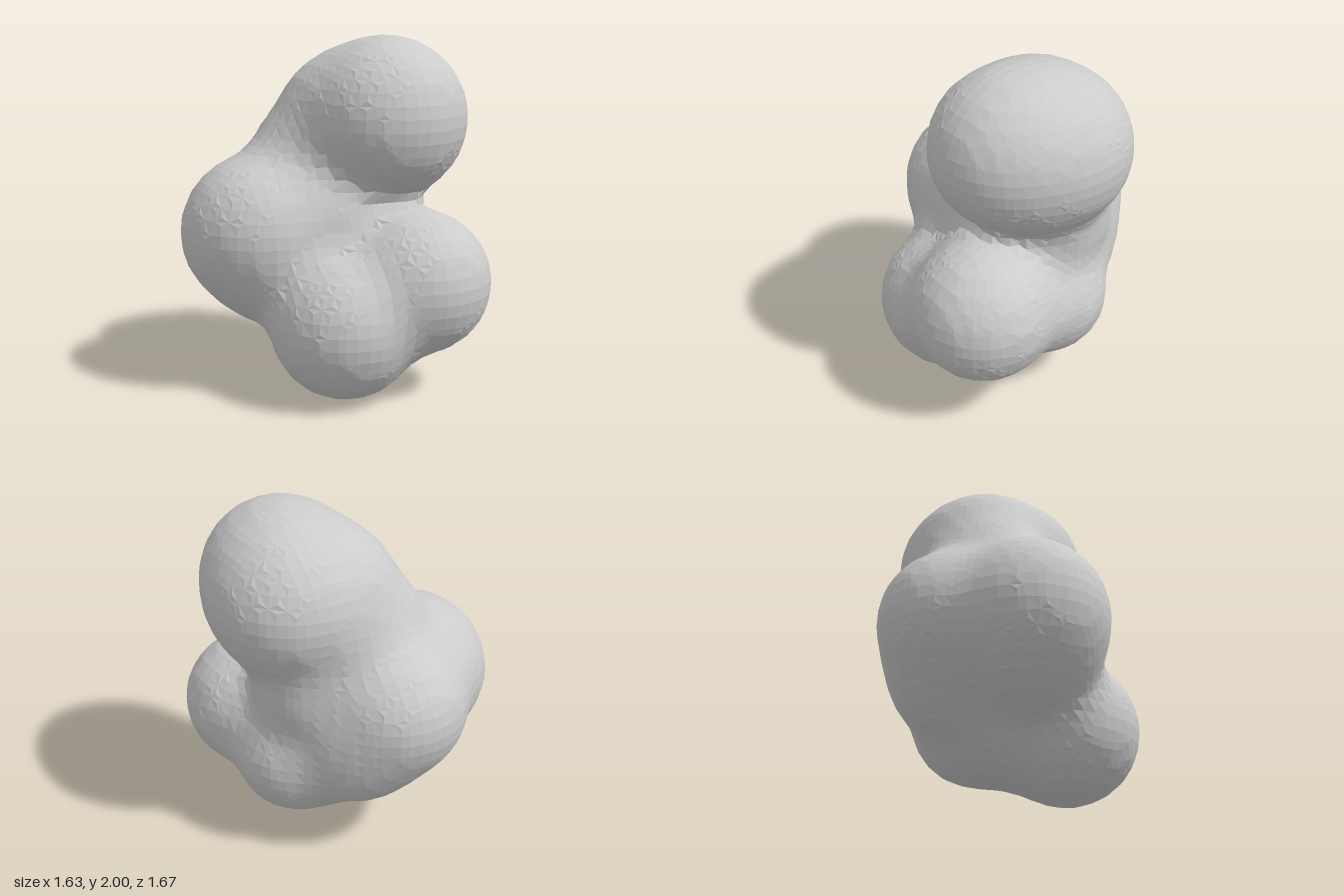
import * as THREE from 'three';

// Overlapping balls that melt together: x, y, z, radius
const BALLS = [
  [0.30, 1.545, 0.18, 0.45],   // head, front
  [0.36, 1.51, -0.03, 0.455],  // head, back
  [0.14, 1.50, -0.08, 0.38],   // shoulder
  [0.12, 1.25, -0.18, 0.35],   // neck
  [-0.06, 1.25, -0.14, 0.34],  // neck, right side
  [0.25, 1.00, -0.10, 0.375],  // core
  [0.00, 0.95, 0.00, 0.38],    // core, right side
  [-0.36, 0.89, -0.12, 0.455], // right lobe
  [-0.24, 0.72, -0.06, 0.38],  // right lobe, underside
  [-0.05, 0.90, -0.42, 0.415], // back lobe
  [0.10, 0.68, -0.30, 0.38],   // back lobe, underside
  [0.34, 0.53, -0.02, 0.37],   // left lower lobe
  [0.10, 0.49, 0.02, 0.38],    // belly
  [-0.05, 0.42, 0.34, 0.42],   // front lower lobe
  [0.37, 0.64, 0.43, 0.41],    // front left lobe
];
const BLEND = 0.13;
const STEP = 0.07;
const START = [-1.05, -0.2, -1.05];
const COUNT = [31, 35, 31];

// Smooth union of all balls: negative inside
function field(x, y, z) {
  let d = Infinity;
  for (const [bx, by, bz, r] of BALLS) {
    const e = Math.hypot(x - bx, y - by, z - bz) - r;
    if (d === Infinity) { d = e; continue; }
    const h = Math.max(BLEND - Math.abs(d - e), 0) / BLEND;
    d = Math.min(d, e) - h * h * BLEND / 4;
  }
  return d;
}

// Skin the field with one vertex per crossed cell and one quad per crossed grid edge
function skin() {
  const [nx, ny, nz] = COUNT;
  const stride = [1, nx, nx * ny];
  const id = (i, j, k) => i + j * nx + k * nx * ny;
  const values = new Float32Array(nx * ny * nz);
  const eachCell = (from, fn) => {
    for (let k = from; k < nz - 1; k++)
      for (let j = from; j < ny - 1; j++)
        for (let i = from; i < nx - 1; i++) fn([i, j, k], id(i, j, k));
  };
  for (let k = 0; k < nz; k++)
    for (let j = 0; j < ny; j++)
      for (let i = 0; i < nx; i++)
        values[id(i, j, k)] = field(START[0] + i * STEP, START[1] + j * STEP, START[2] + k * STEP);

  const positions = [], indices = [], vertexOf = new Map();
  eachCell(0, (cell, base) => {
    const sum = [0, 0, 0];
    let hits = 0;
    for (let corner = 0; corner < 8; corner++) {
      const bits = [corner & 1, (corner >> 1) & 1, (corner >> 2) & 1];
      const at = base + bits[0] * stride[0] + bits[1] * stride[1] + bits[2] * stride[2];
      for (let a = 0; a < 3; a++) {
        if (bits[a]) continue;
        const v0 = values[at], v1 = values[at + stride[a]];
        if ((v0 < 0) === (v1 < 0)) continue;
        for (let c = 0; c < 3; c++) sum[c] += bits[c];
        sum[a] += v0 / (v0 - v1);
        hits++;
      }
    }
    if (!hits) return;
    vertexOf.set(base, positions.length / 3);
    for (let c = 0; c < 3; c++) positions.push(START[c] + (cell[c] + sum[c] / hits) * STEP);
  });

  eachCell(1, (cell, p) => {
    for (let a = 0; a < 3; a++) {
      const inside = values[p] < 0;
      if (inside === (values[p + stride[a]] < 0)) continue;
      const b = stride[(a + 1) % 3], c = stride[(a + 2) % 3];
      const quad = [p - b - c, p - c, p, p - b].map((q) => vertexOf.get(q));
      if (!inside) quad.reverse();
      indices.push(quad[0], quad[1], quad[2], quad[0], quad[2], quad[3]);
    }
  });

  const geometry = new THREE.BufferGeometry();
  geometry.setAttribute('position', new THREE.Float32BufferAttribute(positions, 3));
  geometry.setIndex(indices);
  geometry.computeVertexNormals();
  return geometry;
}

export function createModel() {
  const blob = new THREE.Mesh(
    skin(),
    new THREE.MeshStandardMaterial({ color: 0xcccccc, flatShading: true })
  );
  blob.name = 'blob';
  const group = new THREE.Group();
  group.name = 'moltenBlob';
  group.add(blob);
  return group;
}
